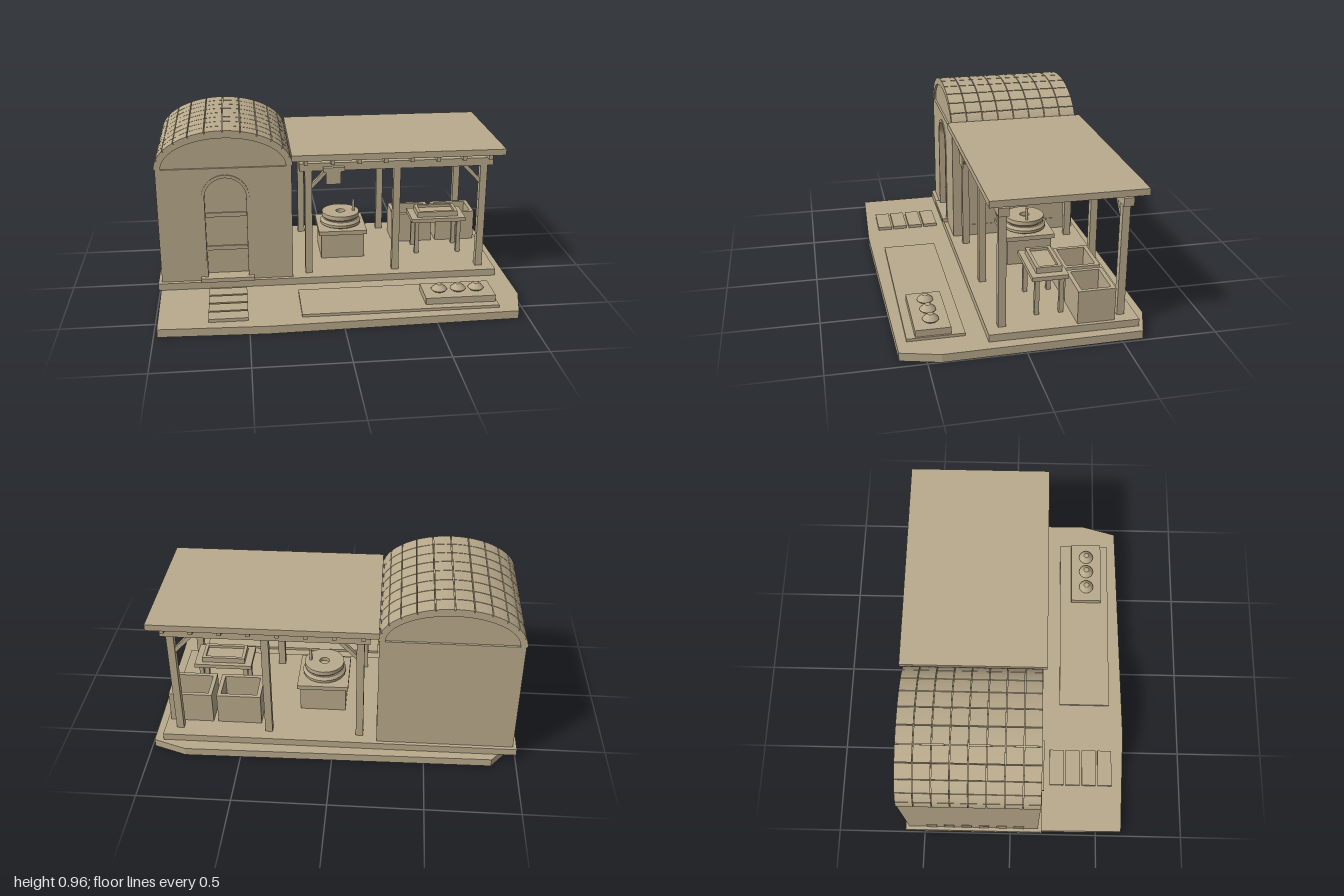
import * as THREE from 'three';
import { toCreasedNormals } from 'three/addons/utils/BufferGeometryUtils.js';

const sand = new THREE.MeshStandardMaterial({ color: 0xb9aa8c });
sand.name = 'sandstone';

function add(parent, name, geometry) {
  const mesh = new THREE.Mesh(geometry, sand);
  mesh.name = name;
  parent.add(mesh);
  return mesh;
}

// Box given by its limits on each axis
function box(parent, name, x0, x1, y0, y1, z0, z1) {
  const mesh = add(parent, name, new THREE.BoxGeometry(x1 - x0, y1 - y0, z1 - z0));
  mesh.position.set((x0 + x1) / 2, (y0 + y1) / 2, (z0 + z1) / 2);
  return mesh;
}

// Outline in x and y, extruded from z0 to z1
function slab(parent, name, shape, z0, z1) {
  const geo = new THREE.ExtrudeGeometry(shape, { depth: z1 - z0, bevelEnabled: false });
  geo.translate(0, 0, z0);
  return add(parent, name, geo);
}

function lathe(parent, name, profile, x, z, sides) {
  const pts = profile.map(([r, y]) => new THREE.Vector2(r, y));
  const mesh = add(parent, name, toCreasedNormals(new THREE.LatheGeometry(pts, sides), 0.5));
  mesh.position.set(x, 0, z);
  return mesh;
}

// Points along an elliptical arc
function arc(cx, cy, rx, ry, a0, a1, n) {
  return Array.from({ length: n + 1 }, (_, i) => {
    const a = a0 + (a1 - a0) * i / n;
    return new THREE.Vector2(cx + rx * Math.cos(a), cy + ry * Math.sin(a));
  });
}

function ring(cx, cy, rx, ry, ix, iy, a0, a1, n) {
  return new THREE.Shape([...arc(cx, cy, rx, ry, a0, a1, n), ...arc(cx, cy, ix, iy, a1, a0, n)]);
}

// Open container: floor and four walls
function openBox(parent, name, x0, x1, y0, y1, z0, z1, t) {
  const g = new THREE.Group();
  g.name = name;
  parent.add(g);
  box(g, 'floor', x0 + t, x1 - t, y0, y0 + t, z0 + t, z1 - t);
  box(g, 'leftWall', x1 - t, x1, y0, y1, z0, z1);
  box(g, 'rightWall', x0, x0 + t, y0, y1, z0, z1);
  box(g, 'frontWall', x0 + t, x1 - t, y0, y1, z1 - t, z1);
  box(g, 'backWall', x0 + t, x1 - t, y0, y1, z0, z0 + t);
}

function buildGround(g) {
  // Irregular ground slab
  const corners = [[-0.98, 0.645], [-0.4, 0.667], [0.945, 0.635], [1, 0.43], [0.985, -0.61],
    [0.805, -0.672], [-0.865, -0.65], [-0.995, -0.49]];
  const shape = new THREE.Shape(corners.map(([x, z]) => new THREE.Vector2(x, -z)));
  slab(g, 'groundSlab', shape, 0, 0.045).rotation.x = -Math.PI / 2;
  box(g, 'platform', -1, 0.935, 0.045, 0.085, -0.605, 0.183);
  box(g, 'yardMat', -0.22, 0.85, 0.045, 0.06, 0.285, 0.585);
  for (const z of [0.268, 0.363, 0.459, 0.553]) box(g, 'paver', -0.715, -0.505, 0.045, 0.063, z - 0.041, z + 0.041);
  // Tray with small heaps
  box(g, 'tray', 0.455, 0.84, 0.06, 0.097, 0.355, 0.54);
  for (const x of [0.545, 0.65, 0.75])
    lathe(g, 'heap', [[0.034, 0.097], [0.044, 0.107], [0.042, 0.112], [0.016, 0.135], [0, 0.137]], x, 0.447, 16);
}

function buildHouse(g) {
  const cx = -0.61, top = 0.75, zb = -0.585, zf = 0.16, dx = -0.607, spring = 0.58;
  box(g, 'houseBody', -0.98, -0.24, 0.085, top, zb, 0.11);
  // Front wall with an arched doorway cut out
  const wall = new THREE.Shape([
    new THREE.Vector2(-0.98, 0.085), new THREE.Vector2(dx - 0.115, 0.085),
    ...arc(dx, spring, 0.115, 0.115, Math.PI, 0, 20),
    new THREE.Vector2(dx + 0.115, 0.085), new THREE.Vector2(-0.24, 0.085),
    new THREE.Vector2(-0.24, top), new THREE.Vector2(-0.98, top)]);
  slab(g, 'frontWall', wall, 0.11, zf);
  const frame = new THREE.Shape([
    new THREE.Vector2(dx + 0.132, 0.1), ...arc(dx, spring, 0.132, 0.132, 0, Math.PI, 20),
    new THREE.Vector2(dx - 0.132, 0.1), new THREE.Vector2(dx - 0.115, 0.1),
    ...arc(dx, spring, 0.115, 0.115, Math.PI, 0, 20), new THREE.Vector2(dx + 0.115, 0.1)]);
  slab(g, 'doorFrame', frame, zf - 0.01, zf + 0.006);
  for (const y of [0.25, 0.45]) box(g, 'doorRail', dx - 0.114, dx + 0.114, y, y + 0.025, 0.105, 0.118);
  box(g, 'doorHandle', dx - 0.125, dx - 0.112, 0.11, 0.215, 0.115, zf + 0.008);
  box(g, 'doorStep', -0.76, -0.46, 0.085, 0.108, 0.105, 0.193);
  // Base plates along both side walls
  for (const x of [-0.98, -0.24])
    for (let i = 0; i < 6; i++) {
      const z = 0.05 - i * 0.1;
      box(g, 'wallPlate', x - 0.004, x + 0.004, 0.095, 0.155, z - 0.029, z + 0.029);
    }
  // Barrel roof: recessed gables, shell and tiles
  slab(g, 'gable', new THREE.Shape(arc(cx, top, 0.345, 0.175, 0, Math.PI, 32)), zb + 0.012, zf - 0.012);
  slab(g, 'roofShell', ring(cx, top, 0.367, 0.202, 0.34, 0.17, 0, Math.PI, 36), zb, zf);
  const strips = 12, rows = 8, step = Math.PI / strips, len = (zf - zb + 0.004) / rows;
  for (let s = 0; s < strips; s++) {
    const tile = ring(cx, top, 0.377, 0.212, 0.364, 0.199, s * step + 0.007, (s + 1) * step - 0.007, 3);
    for (let r = 0; r < rows; r++) {
      const z = zb - 0.002 + r * len;
      slab(g, 'roofTile', tile, z + 0.002, z + len - 0.002);
    }
  }
}

function buildPavilion(g) {
  for (const z of [0.102, -0.525]) {
    for (const x of [-0.145, 0.355, 0.85]) box(g, 'post', x - 0.02, x + 0.02, 0.085, 0.71, z - 0.02, z + 0.02);
    box(g, 'beam', -0.195, 0.9, 0.705, 0.75, z - 0.027, z + 0.027);
    // Diagonal braces beside the end posts
    for (const [x, dir] of [[-0.125, 1], [0.83, -1]]) {
      const brace = new THREE.Shape([[0, 0.595], [0.105, 0.706], [0.075, 0.706], [0, 0.625]]
        .map(([px, y]) => new THREE.Vector2(x + dir * px, y)));
      slab(g, 'brace', brace, z - 0.012, z + 0.012);
    }
  }
  for (let i = 0; i < 8; i++) {
    const x = -0.16 + i * 0.148;
    box(g, 'rafter', x - 0.011, x + 0.011, 0.75, 0.781, -0.59, 0.165);
  }
  box(g, 'flatRoof', -0.24, 0.955, 0.78, 0.815, -0.61, 0.186);
  box(g, 'signBar', -0.065, 0.055, 0.705, 0.73, 0.127, 0.155);
  box(g, 'signBoard', -0.05, 0.035, 0.632, 0.71, 0.143, 0.152);
}

function buildWorkshop(g) {
  // Millstone on its plinth
  box(g, 'millPlinth', -0.055, 0.2, 0.085, 0.237, -0.333, -0.077);
  box(g, 'millTop', -0.07, 0.215, 0.235, 0.26, -0.35, -0.06);
  lathe(g, 'lowerStone', [[0.105, 0.258], [0.12, 0.266], [0.122, 0.283], [0.108, 0.298], [0, 0.298]], 0.072, -0.205, 20);
  lathe(g, 'upperStone', [[0.098, 0.297], [0.112, 0.312], [0.112, 0.336], [0.028, 0.336], [0.028, 0.315], [0, 0.315]], 0.072, -0.205, 20);
  const handle = add(g, 'millHandle', new THREE.CylinderGeometry(0.008, 0.008, 0.075, 8));
  handle.position.set(0.15, 0.37, -0.2);
  // Work table with a sieve frame
  box(g, 'tableTop', 0.485, 0.81, 0.29, 0.313, -0.26, -0.068);
  for (const x of [0.522, 0.775])
    for (const z of [-0.1, -0.23]) box(g, 'tableLeg', x - 0.012, x + 0.012, 0.085, 0.291, z - 0.012, z + 0.012);
  openBox(g, 'sieve', 0.525, 0.767, 0.312, 0.345, -0.235, -0.098, 0.018);
  // Storage bins
  openBox(g, 'leftBin', 0.675, 0.915, 0.085, 0.267, -0.478, -0.28, 0.022);
  openBox(g, 'rightBin', 0.405, 0.648, 0.085, 0.267, -0.478, -0.28, 0.022);
}

export function createModel() {
  const model = new THREE.Group();
  model.name = 'workshopHouse';
  for (const [name, build] of [['ground', buildGround], ['house', buildHouse],
    ['pavilion', buildPavilion], ['workshop', buildWorkshop]]) {
    const part = new THREE.Group();
    part.name = name;
    build(part);
    model.add(part);
  }
  return model;
}
